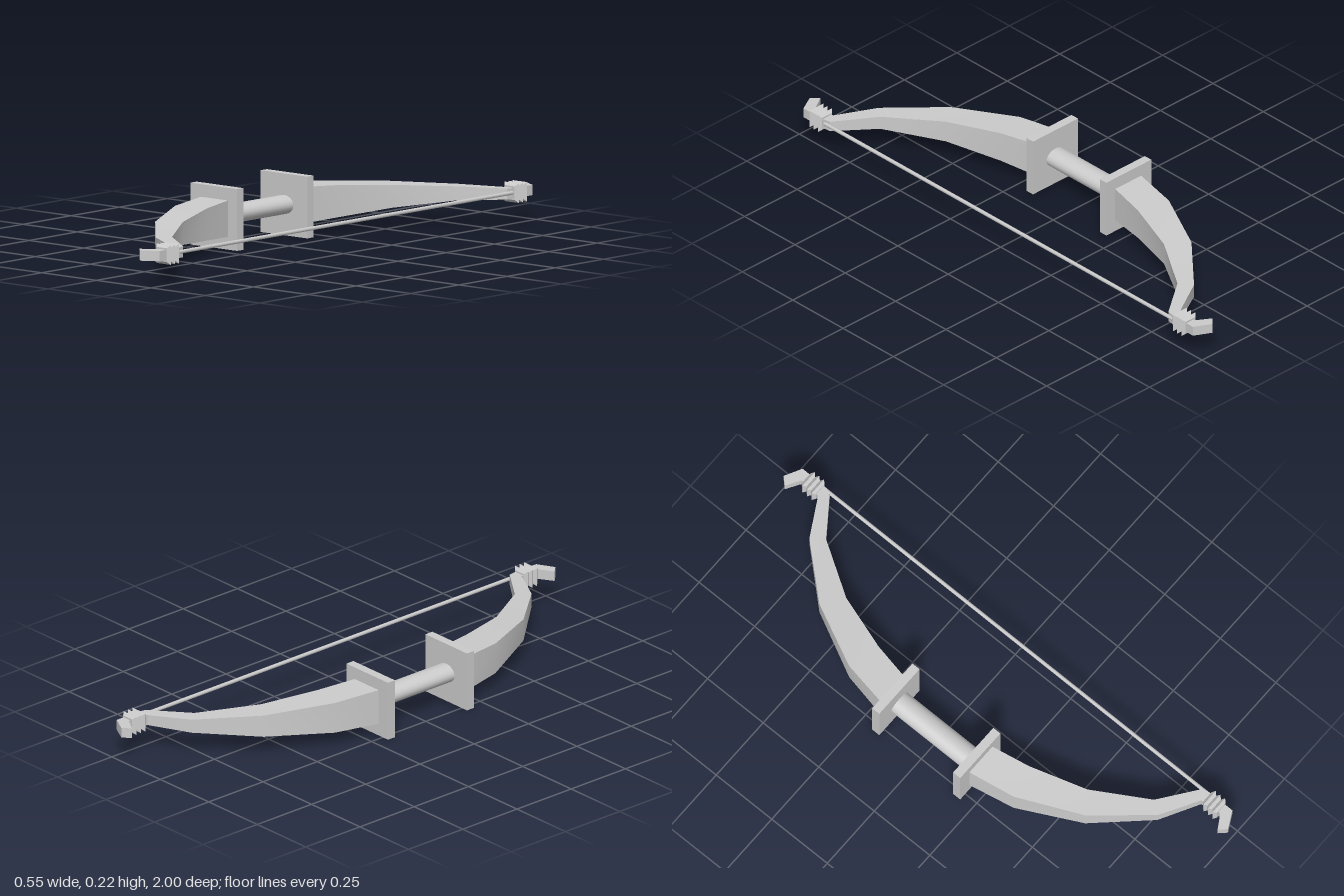
import * as THREE from 'three';
import { toCreasedNormals } from 'three/addons/utils/BufferGeometryUtils.js';

const MID = 0.1075; // height of the bow's central plane

// Lofts four-sided sections [outerX, outerZ, innerX, innerZ, halfHeight]; side = 1 or -1 mirrors z.
function loft(sections, side, crease) {
  const rings = sections.map(([ax, az, bx, bz, h]) => [
    [ax, MID + h, az * side], [bx, MID + h, bz * side],
    [bx, MID - h, bz * side], [ax, MID - h, az * side],
  ]);
  const pos = [];
  const quad = (a, b, c, d) => {
    const order = side > 0 ? [a, b, c, a, c, d] : [a, c, b, a, d, c];
    order.forEach((p) => pos.push(...p));
  };
  for (let i = 0; i < rings.length - 1; i++) {
    for (let k = 0; k < 4; k++) {
      const n = (k + 1) % 4;
      quad(rings[i][k], rings[i + 1][k], rings[i + 1][n], rings[i][n]);
    }
  }
  const s = rings[0], e = rings[rings.length - 1];
  quad(s[0], s[1], s[2], s[3]);
  quad(e[3], e[2], e[1], e[0]);
  const geo = new THREE.BufferGeometry();
  geo.setAttribute('position', new THREE.Float32BufferAttribute(pos, 3));
  return toCreasedNormals(geo, crease);
}

export function createModel() {
  const group = new THREE.Group();
  group.name = 'bow';
  const material = new THREE.MeshStandardMaterial({ color: 0xcccccc });
  const add = (name, geometry, x = 0, y = 0, z = 0) => {
    const mesh = new THREE.Mesh(geometry, material);
    mesh.name = name;
    mesh.position.set(x, y, z);
    group.add(mesh);
    return mesh;
  };

  // Oval grip between the guards
  const grip = new THREE.CylinderGeometry(1, 1, 0.36, 24).rotateX(Math.PI / 2).scale(0.043, 0.033, 1);
  add('grip', grip, -0.17, MID, 0);

  // Limb tapering out to the hooked tip
  const limb = [
    [-0.23, 0.19, -0.107, 0.19, 0.064],
    [-0.196, 0.37, -0.076, 0.34, 0.056],
    [-0.085, 0.598, -0.008, 0.542, 0.04],
    [0.08, 0.783, 0.116, 0.738, 0.0245],
    [0.22, 0.862, 0.257, 0.84, 0.019],
    [0.222, 0.88, 0.262, 0.872, 0.018],
    [0.227, 0.942, 0.262, 0.967, 0.018],
    [0.175, 0.974, 0.2, 1.0, 0.018],
  ];

  // Ridged binding of three square rings
  const binding = [];
  for (let i = 0; i <= 6; i++) {
    const h = i % 2 ? 0.033 : 0.023, z = 0.871 + i * 0.0105;
    binding.push([0.242 - h, z, 0.242 + h, z, h + 0.001]);
  }

  for (const side of [1, -1]) {
    const label = side > 0 ? 'front' : 'back';
    add(label + 'Guard', new THREE.BoxGeometry(0.214, 0.215, 0.032), -0.17, MID, side * 0.182);
    add(label + 'Limb', loft(limb, side, 0.52), 0, 0, 0);
    add(label + 'Binding', loft(binding, side, 0.3), 0, 0, 0);
  }

  // Bowstring
  const string = new THREE.CylinderGeometry(0.0068, 0.0068, 1.73, 8).rotateX(Math.PI / 2);
  add('bowstring', string, 0.259, MID + 0.002, 0);

  return group;
}
